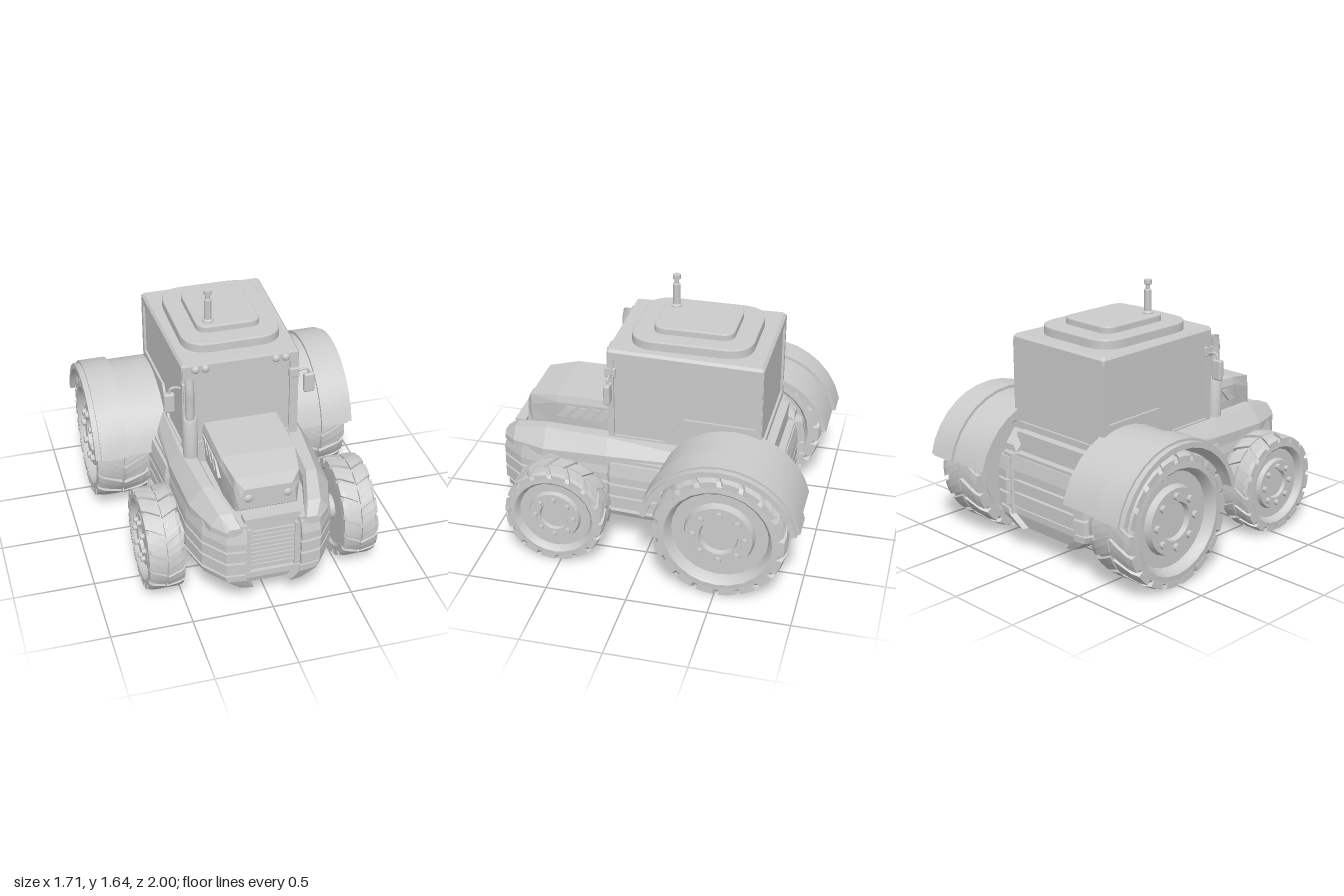
import * as THREE from 'three';
import { toCreasedNormals } from 'three/addons/utils/BufferGeometryUtils.js';
import { RoundedBoxGeometry } from 'three/addons/geometries/RoundedBoxGeometry.js';

const mat = new THREE.MeshStandardMaterial({ color: 0xcccccc });
const flat = new THREE.MeshStandardMaterial({ color: 0xcccccc, flatShading: true });
const open = new THREE.MeshStandardMaterial({ color: 0xcccccc, side: THREE.DoubleSide });

export function createModel() {
  const model = new THREE.Group();
  const add = (name, geo, x = 0, y = 0, z = 0, parent = model, m = mat) => {
    const mesh = new THREE.Mesh(geo, m);
    mesh.name = name;
    mesh.position.set(x, y, z);
    parent.add(mesh);
    return mesh;
  };
  const box = (name, w, h, d, x, y, z) => add(name, new THREE.BoxGeometry(w, h, d), x, y, z);
  const roundBox = (name, w, h, d, r, x, y, z) => add(name, new RoundedBoxGeometry(w, h, d, 2, r), x, y, z);
  const shapeOf = pts => new THREE.Shape(pts.map(p => new THREE.Vector2(p[0], p[1])));
  const mirrorPlan = half => [...half, ...half.map(([x, z]) => [-x, z]).reverse()];

  // Horizontal slab from an x,z plan, with optional scaling of its lower and upper outline
  const slab = (name, plan, y0, y1, low = [1, 1], high = [1, 1]) => {
    const g = new THREE.ExtrudeGeometry(shapeOf(plan.map(([x, z]) => [x, -z])), { depth: y1 - y0, bevelEnabled: false });
    g.rotateX(-Math.PI / 2);
    const p = g.attributes.position;
    for (let i = 0; i < p.count; i++) {
      const s = p.getY(i) < (y1 - y0) / 2 ? low : high;
      p.setX(i, p.getX(i) * s[0]);
      p.setZ(i, p.getZ(i) * s[1]);
    }
    return add(name, g, 0, y0, 0, model, flat);
  };
  // Panel drawn in -z,y and extruded along +x from x0
  const sidePanel = (name, shape, x0, depth) => {
    const g = new THREE.ExtrudeGeometry(shape, { depth, bevelEnabled: false, curveSegments: 7 });
    return add(name, toCreasedNormals(g.rotateY(Math.PI / 2), 0.5), x0, 0, 0);
  };
  // Loft of equal rings, counter-clockwise seen from the front, ordered front to back
  const loft = (name, rings) => {
    const n = rings[0].length, idx = [], last = (rings.length - 1) * n;
    for (let i = 0; i < rings.length - 1; i++) for (let j = 0; j < n; j++) {
      const a = i * n + j, b = i * n + (j + 1) % n;
      idx.push(a, a + n, b, b, a + n, b + n);
    }
    for (let j = 1; j < n - 1; j++) idx.push(0, j, j + 1, last, last + j + 1, last + j);
    const g = new THREE.BufferGeometry();
    g.setAttribute('position', new THREE.Float32BufferAttribute(rings.flat(2), 3));
    g.setIndex(idx);
    const out = g.toNonIndexed();
    out.computeVertexNormals();
    return add(name, out);
  };

  // Body: core with stacked bands around it, chamfered underneath
  const half = [[0.28, -0.81], [0.3, -0.85], [0.38, -0.84], [0.41, -0.78], [0.43, -0.14], [0.5, -0.1], [0.48, 0.24],
    [0.455, 0.26], [0.45, 0.65], [0.4, 0.84], [0.29, 0.985], [0.17, 1], [0.17, 0.94]];
  const plan = mirrorPlan(half);
  const core = mirrorPlan(half.map(([x, z]) => [x * 0.93, z * 0.97]));
  slab('bodyCore', core, 0.24, 0.63);
  slab('chassisFoot', plan, 0.155, 0.235, [0.66, 0.96], [0.96, 0.985]);
  slab('chassis', plan, 0.235, 0.275, [0.96, 0.985], [1, 0.985]);
  for (const [y0, y1] of [[0.3, 0.375], [0.39, 0.46], [0.475, 0.525]]) slab('bodyBand', plan, y0, y1);
  slab('upperBand', plan, 0.525, 0.61, [1, 1], [0.97, 0.98]);
  box('cabFloor', 0.62, 0.15, 1.01, 0, 0.675, -0.235);

  // Sloping cowls along both sides of the hood
  const cowl = [[0.98, 0.18, 0.285, 0.61, 0.265, 0.63], [0.9, 0.21, 0.36, 0.62, 0.31, 0.69], [0.68, 0.27, 0.435, 0.63, 0.355, 0.742],
    [0.27, 0.29, 0.455, 0.65, 0.39, 0.745], [-0.7, 0.28, 0.42, 0.65, 0.385, 0.745], [-0.78, 0.28, 0.4, 0.62, 0.37, 0.67]];
  for (const s of [1, -1]) {
    loft('sideCowl', cowl.map(([z, xi, xo, yb, xt, yt]) => {
      const ring = [[xi, 0.58], [xo, 0.58], [xo, yb], [xt, yt], [xi + 0.02, yt], [xi, yt - 0.04]].map(([x, y]) => [s * x, y, z]);
      return s > 0 ? ring : ring.reverse();
    }));
  }

  // Grille
  box('grilleFrame', 0.34, 0.42, 0.07, 0, 0.45, 0.915);
  box('grilleSill', 0.34, 0.04, 0.04, 0, 0.265, 0.955);
  for (const s of [1, -1]) box('grillePost', 0.03, 0.32, 0.03, s * 0.15, 0.435, 0.955);
  for (let i = 0; i < 9; i++) box('grilleSlat', 0.27, 0.024, 0.025, 0, 0.315 + i * 0.031, 0.95);

  // Hood with a sloping top and a bevelled nose
  const hood = [[0.86, 0.175, 0.165, 0.67, 0.755, 0.145, 0.81], [0.825, 0.19, 0.2, 0.64, 0.8, 0.195, 0.872],
    [0.64, 0.21, 0.238, 0.6, 0.86, 0.228, 0.907], [0.2, 0.22, 0.24, 0.6, 0.86, 0.23, 0.907]];
  loft('hood', hood.map(([z, wb, w, y0, y1, wt, yt]) => {
    const r = [[wb, y0], [w, y1], [wt, yt]];
    return [...r, ...r.map(([x, y]) => [-x, y]).reverse()].map(([x, y]) => [x, y, z]);
  }));
  for (const s of [1, -1]) {
    const lamp = add('headlight', new THREE.SphereGeometry(0.03, 20, 12), s * 0.12, 0.745, 0.852);
    lamp.scale.z = 0.6;
    for (let i = 0; i < 4; i++) {
      const z = 0.645 - i * 0.08;
      sidePanel('hoodLouvre', shapeOf([[-z, 0.765], [-z + 0.055, 0.765], [-z + 0.125, 0.84], [-z + 0.07, 0.84]]), s > 0 ? 0.22 : -0.246, 0.026);
    }
  }

  // Cab: recessed glass block with a frame on each side
  const cabPlan = mirrorPlan([[0.385, -0.685], [0.395, -0.675], [0.366, 0.265], [0.356, 0.275]]);
  slab('cabGlass', mirrorPlan([[0.38, -0.67], [0.35, 0.26]]), 0.74, 1.31);
  slab('cabTop', cabPlan, 1.28, 1.325);
  slab('cabTopEdge', cabPlan, 1.325, 1.342, [1, 1], [0.965, 0.975]);
  const frame = (outer, hole) => {
    const s = shapeOf(outer);
    s.holes.push(new THREE.Path(hole.map(p => new THREE.Vector2(...p))));
    return s;
  };
  const rect = (w, y0, y1) => [[-w, y0], [w, y0], [w, y1], [-w, y1]];
  const plate = (name, shape, z) => add(name, new THREE.ExtrudeGeometry(shape, { depth: 0.018, bevelEnabled: false }), 0, 0, z);
  plate('windscreenFrame', frame(rect(0.358, 0.74, 1.3), rect(0.31, 0.78, 1.27)), 0.257);
  plate('rearWindowFrame', frame(rect(0.388, 0.74, 1.3), rect(0.355, 0.79, 1.275)), -0.685);
  const sideFrame = frame([[-0.476, 0.74], [0.476, 0.74], [0.476, 1.3], [-0.476, 1.3]],
    [[-0.44, 0.755], [-0.12, 0.755], [0, 0.93], [0.44, 0.93], [0.44, 1.275], [-0.44, 1.275]]);
  for (const s of [1, -1]) {
    const door = sidePanel('cabSideFrame', sideFrame, 0, 0.018);
    door.geometry.translate(s > 0 ? -0.018 : 0, 0, 0);
    door.position.set(s * 0.38, 0, -0.205);
    door.rotation.y = -s * 0.031;
  }

  // Stepped roof hatch with rounded corners
  const roofTier = (name, w, z0, z1, r, y, h) => {
    const s = new THREE.Shape(), a = -z1, b = -z0;
    s.moveTo(-w + r, a).lineTo(w - r, a).quadraticCurveTo(w, a, w, a + r).lineTo(w, b - r).quadraticCurveTo(w, b, w - r, b);
    s.lineTo(-w + r, b).quadraticCurveTo(-w, b, -w, b - r).lineTo(-w, a + r).quadraticCurveTo(-w, a, -w + r, a);
    const g = new THREE.ExtrudeGeometry(s, { depth: h - 0.008, bevelSize: 0.008, bevelOffset: -0.008, bevelThickness: 0.008, bevelSegments: 2, curveSegments: 10 });
    add(name, g.rotateX(-Math.PI / 2), 0, y, 0);
  };
  roofTier('roofLower', 0.31, -0.585, 0.165, 0.17, 1.34, 0.06);
  roofTier('roofUpper', 0.2, -0.46, 0.035, 0.08, 1.395, 0.047);

  // Antenna beacon
  const lathe = pts => toCreasedNormals(new THREE.LatheGeometry(pts.map(p => new THREE.Vector2(...p)), 24), 0.6);
  add('antenna', lathe([[0, 0], [0.034, 0], [0.034, 0.012], [0.023, 0.02], [0.023, 0.15], [0.014, 0.155],
    [0.014, 0.18], [0.024, 0.185], [0.024, 0.212], [0, 0.212]]), -0.12, 1.438, -0.04);

  // Exhaust stack on the right
  add('exhaustMuffler', lathe([[0, 0], [0.045, 0], [0.045, 0.3], [0.04, 0.31], [0, 0.31]]), -0.335, 0.7, 0.34);
  const pipe = new THREE.CatmullRomCurve3([[1, 0.34], [1.12, 0.34], [1.2, 0.342], [1.265, 0.332]].map(([y, z]) => new THREE.Vector3(0, y, z)));
  add('exhaustPipe', new THREE.TubeGeometry(pipe, 16, 0.028, 16), -0.335, 0, 0, model, open);

  // Mirrors and roof lights
  for (const s of [1, -1]) {
    roundBox('mirrorBracket', 0.065, 0.065, 0.07, 0.008, s * 0.335, 1.187, 0.255);
    const arm = new THREE.CatmullRomCurve3([[0.36, 1.17], [0.4, 1.185], [0.43, 1.178], [0.44, 1.14]].map(([x, y]) => new THREE.Vector3(s * x, y, 0.25)));
    add('mirrorArm', new THREE.TubeGeometry(arm, 12, 0.008, 8));
    roundBox('mirror', 0.068, 0.13, 0.04, 0.012, s * 0.44, 1.085, 0.25);
    for (const x of [0.22, 0.28]) {
      const g = new THREE.SphereGeometry(0.025, 16, 10).scale(1, 1, 0.7);
      add('roofLight', g, s * x, 1.302, 0.276);
    }
  }

  // Wheels: lathed tyre with dished rim, chevron lugs and hub bolts
  const wheel = (name, s, x, y, z, R, w, count) => {
    const g = new THREE.Group();
    g.name = name;
    g.position.set(s * x, y, z);
    model.add(g);
    const prof = [[0, -0.42], [0.75, -0.42], [0.8, -0.5], [0.9, -0.49], [0.95, -0.42], [0.955, 0.42], [0.9, 0.49], [0.8, 0.5],
      [0.76, 0.45], [0.72, 0.3], [0.53, 0.3], [0.5, 0.43], [0.29, 0.43], [0.27, 0.33], [0, 0.33]];
    add('tyre', lathe(prof.map(([r, t]) => [r * R, t * w])).rotateZ(-s * Math.PI / 2), 0, 0, 0, g);
    for (let i = 0; i < count; i++) for (const side of [1, -1]) {
      const lug = new THREE.BoxGeometry(1, 1, 1, 4, 1, 2), p = lug.attributes.position;
      const base = (i + side * 0.06) / count * Math.PI * 2;
      for (let k = 0; k < p.count; k++) {
        const t = p.getX(k) + 0.5, u = side > 0 ? t : 1 - t;
        const a = base + p.getZ(k) * 0.74 * Math.PI * 2 / count - u * w * 0.26 / R;
        const r = R * (p.getY(k) > 0 ? (u > 0.9 ? 0.975 : 1) : 0.88);
        p.setXYZ(k, side * (0.02 + u * 0.48) * w, r * Math.cos(a), r * Math.sin(a));
      }
      add('treadLug', lug, 0, 0, 0, g, flat);
    }
    for (let i = 0; i < 8; i++) {
      const a = i * Math.PI / 4;
      add('hubBolt', new THREE.CylinderGeometry(R * 0.055, R * 0.055, 0.03, 12).rotateZ(Math.PI / 2),
        s * (w * 0.43 + 0.01), R * 0.385 * Math.cos(a), R * 0.385 * Math.sin(a), g);
    }
  };
  for (const s of [1, -1]) {
    wheel('frontWheel', s, 0.608, 0.322, 0.535, 0.315, 0.215, 16);
    wheel('rearWheel', s, 0.667, 0.418, -0.517, 0.41, 0.33, 18);
    add('frontAxle', new THREE.CylinderGeometry(0.08, 0.08, 0.25, 24).rotateZ(Math.PI / 2), s * 0.44, 0.325, 0.535);
    add('rearAxle', new THREE.CylinderGeometry(0.12, 0.12, 0.25, 24).rotateZ(Math.PI / 2), s * 0.47, 0.415, -0.517);

    // Rear fender arches in three steps across the width
    for (const [x0, x1, r, t] of [[0.36, 0.65, 0.478, 0.03], [0.645, 0.82, 0.497, 0.049], [0.815, 0.855, 0.482, 0.034]]) {
      const arch = new THREE.Shape(), a = Math.asin(0.11 / r);
      arch.absarc(0.517, 0.42, r, a, Math.PI - a, false);
      arch.absarc(0.517, 0.42, r - t, Math.PI - a, a, true);
      sidePanel('rearFender', arch, s > 0 ? x0 : -x1, x1 - x0);
    }
  }
  return model;
}
